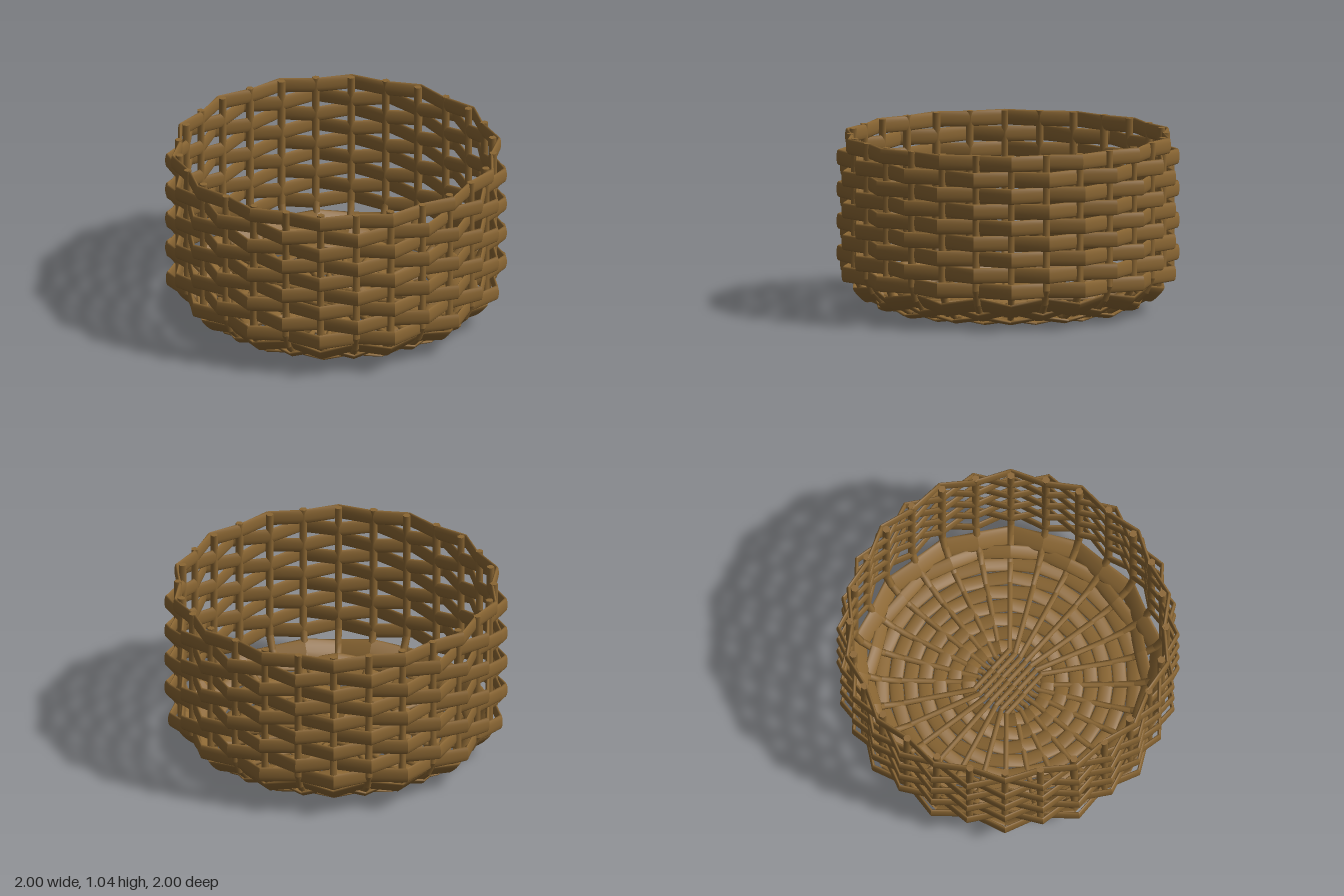
import * as THREE from 'three';

const STAKES = 28;
const STEP = (Math.PI * 2) / STAKES;

// Skin a list of cross-section rings; each segment has its own vertices so bends stay crisp
function loft(rings, closed) {
  const pos = [], idx = [], n = rings[0].length;
  const last = closed ? rings.length : rings.length - 1;
  for (let i = 0; i < last; i++) {
    const base = pos.length / 3;
    for (const ring of [rings[i], rings[(i + 1) % rings.length]])
      for (const p of ring) pos.push(p.x, p.y, p.z);
    for (let j = 0; j < n; j++) {
      const a = base + j, b = base + ((j + 1) % n);
      idx.push(a, b, b + n, a, b + n, a + n);
    }
  }
  if (!closed) {
    // flat end caps
    [rings[0], rings[rings.length - 1]].forEach((ring, end) => {
      const base = pos.length / 3;
      for (const p of ring) pos.push(p.x, p.y, p.z);
      for (let j = 1; j < n - 1; j++)
        end ? idx.push(base, base + j, base + j + 1) : idx.push(base, base + j + 1, base + j);
    });
  }
  const g = new THREE.BufferGeometry();
  g.setAttribute('position', new THREE.Float32BufferAttribute(pos, 3));
  g.setIndex(idx);
  g.computeVertexNormals();
  return g;
}

// Round rod along a polyline, with a fixed sideways direction
function rod(points, radii, side, sides = 6) {
  const rings = points.map((p, i) => {
    const t = new THREE.Vector3();
    if (i > 0) t.add(p.clone().sub(points[i - 1]).normalize());
    if (i < points.length - 1) t.add(points[i + 1].clone().sub(p).normalize());
    t.normalize();
    const m = t.clone().cross(side).normalize();
    const s = m.clone().cross(t);
    return Array.from({ length: sides }, (_, j) => {
      const a = ((j + 0.5) / sides) * Math.PI * 2;
      return p.clone().addScaledVector(s, Math.cos(a) * radii[i]).addScaledVector(m, Math.sin(a) * radii[i]);
    });
  });
  return loft(rings, false);
}

// Flat oval strand zigzagging past the stakes; slope 0 lies flat, PI/2 stands upright
function strand({ r, y, slope, half, outer, inner, parity }) {
  const c = Math.cos(slope), s = Math.sin(slope), rings = [];
  for (let i = 0; i < STAKES; i++) {
    const off = i % 2 === parity ? outer : inner;
    const a = i * STEP, ring = [];
    for (let j = 0; j < 10; j++) {
      const q = (j / 10) * Math.PI * 2;
      const along = Math.cos(q) * half, out = off + Math.sin(q) * 0.012;
      const rr = r + along * c + out * s;
      ring.push(new THREE.Vector3(rr * Math.sin(a), y + along * s - out * c, rr * Math.cos(a)));
    }
    rings.push(ring);
  }
  return loft(rings, true);
}

export function createModel() {
  const model = new THREE.Group();
  model.name = 'wovenBasket';
  const wicker = new THREE.MeshStandardMaterial({ color: 0x8a6633 });
  wicker.name = 'wicker brown';

  const add = (parent, geometry, name) => {
    const mesh = new THREE.Mesh(geometry, wicker);
    mesh.name = name;
    parent.add(mesh);
  };
  const group = (name) => {
    const g = new THREE.Group();
    g.name = name;
    model.add(g);
    return g;
  };

  // Stakes: parallel in the middle of the base, fanning out, then turning up the wall
  const stakes = group('stakes');
  const profile = [[0.62, 0.035], [0.74, 0.052], [0.81, 0.09], [0.88, 0.155], [0.92, 0.24], [0.92, 1.035]];
  for (let quarter = 0; quarter < 4; quarter++) {
    const heading = (quarter * Math.PI) / 2;
    const coreY = quarter % 2 ? 0.05 : 0.02;
    for (let k = -3; k <= 3; k++) {
      const a = heading + k * STEP;
      const core = (d, y) => new THREE.Vector3(k * 0.04, y, d).applyAxisAngle(new THREE.Vector3(0, 1, 0), heading);
      const points = [core(0, coreY), core(0.16, coreY)];
      for (const [r, y] of profile) points.push(new THREE.Vector3(r * Math.sin(a), y, r * Math.cos(a)));
      const radii = [0.017, 0.017, 0.018, 0.02, 0.022, 0.022, 0.023, 0.023];
      add(stakes, rod(points, radii, new THREE.Vector3(Math.cos(a), 0, -Math.sin(a))), 'stake');
    }
  }

  // Flat rings woven through the base
  const base = group('baseWeave');
  for (let i = 0; i < 6; i++)
    add(base, strand({ r: 0.23 + i * 0.085, y: 0.035, slope: 0, half: 0.042, outer: 0.023, inner: 0, parity: i % 2 }), 'baseStrand');
  add(base, strand({ r: 0.735, y: 0.052, slope: 0.25, half: 0.042, outer: 0.028, inner: 0, parity: 0 }), 'baseStrand');

  // Sloping strands where the base turns into the wall
  const corner = group('cornerWeave');
  add(corner, strand({ r: 0.8, y: 0.085, slope: 0.6, half: 0.042, outer: 0.025, inner: -0.022, parity: 1 }), 'cornerStrand');
  add(corner, strand({ r: 0.86, y: 0.14, slope: 0.8, half: 0.062, outer: 0.04, inner: -0.01, parity: 0 }), 'cornerStrand');

  // Upright strands of the wall, the top one pulled in a little
  const wall = group('wallWeave');
  for (let i = 0; i < 9; i++) {
    const rim = i === 8;
    add(wall, strand({
      r: 0.92, y: 0.24 + i * 0.0938, slope: Math.PI / 2, half: 0.046,
      outer: rim ? 0.038 : 0.068, inner: -0.01, parity: i % 2,
    }), rim ? 'rimStrand' : 'wallStrand');
  }
  return model;
}
